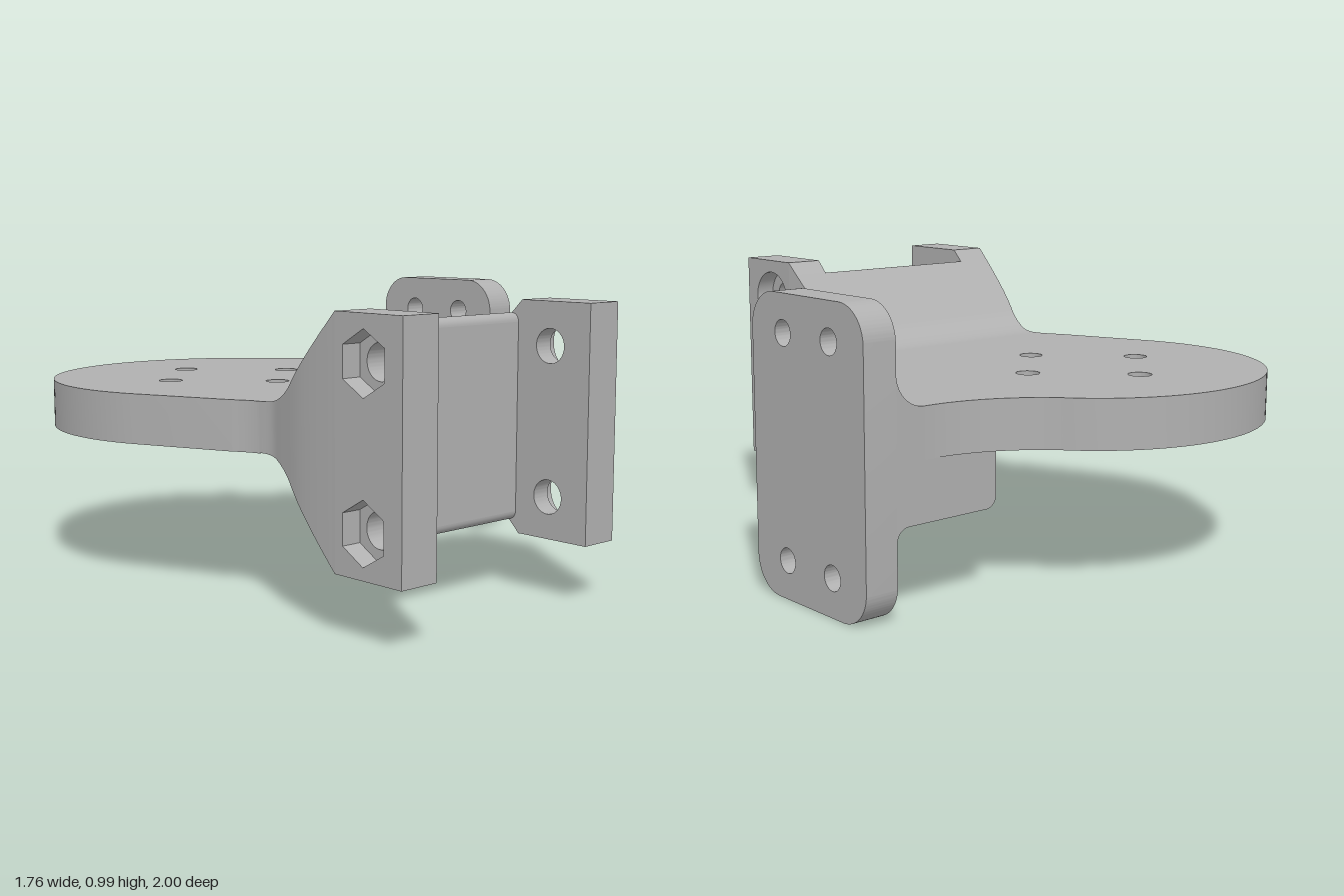
import * as THREE from 'three';
import { toCreasedNormals } from 'three/addons/utils/BufferGeometryUtils.js';

const TOP = 0.667, BOTTOM = 0.5, MID = 0.5845;
const DEG = Math.PI / 180;

export function createModel() {
  const model = new THREE.Group();
  model.name = 'bracket';
  const grey = new THREE.MeshStandardMaterial({ color: 0xb0b0b0 });
  grey.name = 'grey';

  function add(name, geometry) {
    const mesh = new THREE.Mesh(geometry, grey);
    mesh.name = name;
    model.add(mesh);
    return mesh;
  }
  const extrude = (shape, depth) =>
    new THREE.ExtrudeGeometry(shape, { depth, bevelEnabled: false, curveSegments: 32 });
  const crease = (geometry) => toCreasedNormals(geometry, 0.5);
  // extrude along x: shape x becomes -z
  const extrudeX = (shape, x0, x1) =>
    crease(extrude(shape, x1 - x0).rotateY(Math.PI / 2).translate(x0, 0, 0));

  function hole(shape, x, y, r, sides = 0) {
    const path = new THREE.Path();
    if (sides) {
      const pts = [];
      for (let i = 0; i < sides; i++) {
        const a = Math.PI / 2 + (i / sides) * Math.PI * 2;
        pts.push(new THREE.Vector2(x + r * Math.cos(a), y + r * Math.sin(a)));
      }
      path.setFromPoints(pts);
      path.closePath();
    } else path.absarc(x, y, r, 0, Math.PI * 2, false);
    shape.holes.push(path);
  }

  // rectangular sections { x0, x1, y0, y1, z } joined along z, smooth along each side
  function loft(sections) {
    const pos = [], idx = [];
    const corners = (s) => [[s.x0, s.y0, s.z], [s.x1, s.y0, s.z], [s.x1, s.y1, s.z], [s.x0, s.y1, s.z]];
    for (let e = 0; e < 4; e++) {
      const base = pos.length / 3;
      sections.forEach((s, k) => {
        const c = corners(s);
        pos.push(...c[e], ...c[(e + 1) % 4]);
        if (!k) return;
        const a = base + 2 * (k - 1);
        idx.push(a, a + 1, a + 3, a, a + 3, a + 2);
      });
    }
    const cap = pos.length / 3;
    corners(sections[sections.length - 1]).forEach((c) => pos.push(...c));
    idx.push(cap, cap + 1, cap + 2, cap, cap + 2, cap + 3);
    const g = new THREE.BufferGeometry();
    g.setAttribute('position', new THREE.Float32BufferAttribute(pos, 3));
    g.setIndex(idx);
    g.computeVertexNormals();
    return g;
  }

  // round plate with blended arm and neck, drawn in x and z
  const cx = -0.25, cz = -0.365, R = 0.635;
  const blend = Math.atan2(0.77, -0.9);
  const plate = new THREE.Shape();
  plate.moveTo(0.65, -0.585);
  plate.absarc(0.65, -1.135, 0.55, Math.PI / 2, blend, false);
  plate.absarc(cx, cz, R, blend - Math.PI, -202.5 * DEG, true);
  plate.lineTo(-0.70, 0.21);
  plate.quadraticCurveTo(-0.668, 0.26, -0.66, 0.3);
  plate.lineTo(0.16, 0.3);
  plate.bezierCurveTo(0.2, 0.12, 0.38, 0, 0.57, 0);
  plate.lineTo(0.65, 0);
  plate.closePath();
  for (const [dx, dz] of [[0.268, 0], [-0.268, 0], [0, 0.268], [0, -0.268]])
    hole(plate, cx + dx, cz + dz, 0.041);
  add('roundPlate', crease(extrude(plate, TOP - BOTTOM).rotateX(Math.PI / 2).translate(0, TOP, 0)));

  // arm end with fillets and the rib below it
  const arm = new THREE.Shape();
  arm.moveTo(0.65, BOTTOM);
  arm.lineTo(0.65, TOP);
  arm.absarc(0.65, TOP + 0.11, 0.11, -Math.PI / 2, 0, false);
  arm.lineTo(0.76, 0.255);
  arm.absarc(0.715, 0.255, 0.045, 0, Math.PI / 2, false);
  arm.lineTo(0.4, 0.3);
  arm.absarc(0.4, 0.34, 0.04, -Math.PI / 2, -Math.PI, true);
  arm.lineTo(0.36, BOTTOM);
  arm.closePath();
  add('armRib', crease(extrude(arm, 0.585).translate(0, 0, -0.585)));
  add('ribStep', new THREE.BoxGeometry(0.1, 0.1, 0.36)).position.set(0.33, 0.46, -0.29);

  // upright mounting flange with rounded corners
  const w = 0.585, h = 0.99, r = 0.12;
  const flange = new THREE.Shape();
  flange.moveTo(r, 0);
  flange.absarc(w - r, r, r, -Math.PI / 2, 0, false);
  flange.absarc(w - r, h - r, r, 0, Math.PI / 2, false);
  flange.absarc(r, h - r, r, Math.PI / 2, Math.PI, false);
  flange.absarc(r, r, r, Math.PI, Math.PI * 1.5, false);
  for (const x of [0.17, 0.412]) for (const y of [0.13, 0.865]) hole(flange, x, y, 0.042);
  add('mountingFlange', extrudeX(flange, 0.76, 0.88));

  // neck flaring up and down into the fork
  const knots = [0.3, 0.36, 0.43, 0.53, 0.62, 0.72];
  const side = (xs) => new THREE.SplineCurve(knots.map((z, i) => new THREE.Vector2(z, xs[i])));
  const leftSide = side([0.16, 0.155, 0.175, 0.213, 0.238, 0.25]);
  const rightSide = side([-0.66, -0.655, -0.675, -0.703, -0.715, -0.72]);
  const halfHeight = (z) => {
    if (z < 0.31) return TOP - MID;
    if (z < 0.487) return TOP - MID + 0.25 - Math.sqrt(0.0625 - (z - 0.31) ** 2);
    return 0.255 + z - MID;
  };
  const sections = [];
  for (let i = 0; i <= 50; i++) {
    const a = rightSide.getPoint(i / 50), b = leftSide.getPoint(i / 50), hh = halfHeight(a.x);
    sections.push({ x0: a.y, x1: b.y, y0: MID - hh, y1: MID + hh, z: a.x });
  }
  const split = sections.findIndex((s) => s.z >= 0.67);
  const ends = sections.slice(split);
  const innerR = -0.577, innerL = 0.11;
  add('flaredNeck', loft(sections.slice(0, split + 1)));
  add('rightProngRoot', loft(ends.map((s) => ({ ...s, x1: innerR }))));
  add('leftProngRoot', loft(ends.map((s) => ({ ...s, x0: innerL }))));

  // wall between the prongs, with rounded upper and lower edges
  const wall = [];
  const wallHalf = ends[0].y1 - MID, wallZ = ends[0].z;
  for (let i = 0; i <= 8; i++) {
    const a = (i / 8) * Math.PI / 2, hh = wallHalf - 0.03 * (1 - Math.cos(a));
    wall.push({ x0: innerR, x1: innerL, y0: MID - hh, y1: MID + hh, z: wallZ + (0.705 - wallZ) * Math.sin(a) });
  }
  add('forkWall', loft(wall));

  // fork prongs in two layers: bolt hole inside, bolt head or nut pocket outside
  function prongLayer(name, x0, x1, radius, sides) {
    const s = new THREE.Shape();
    s.moveTo(-1, 0.195);
    s.lineTo(-0.72, 0.195);
    s.lineTo(-0.72, 0.975);
    s.lineTo(-1, 0.975);
    s.closePath();
    for (const y of [0.335, 0.83]) hole(s, -0.84, y, radius, sides);
    add(name, extrudeX(s, x0, x1));
  }
  prongLayer('leftProngInner', innerL, 0.18, 0.057);
  prongLayer('leftProngOuter', 0.18, 0.25, 0.1);
  prongLayer('rightProngInner', -0.65, innerR, 0.057);
  prongLayer('rightProngOuter', -0.72, -0.65, 0.1, 6);

  return model;
}
